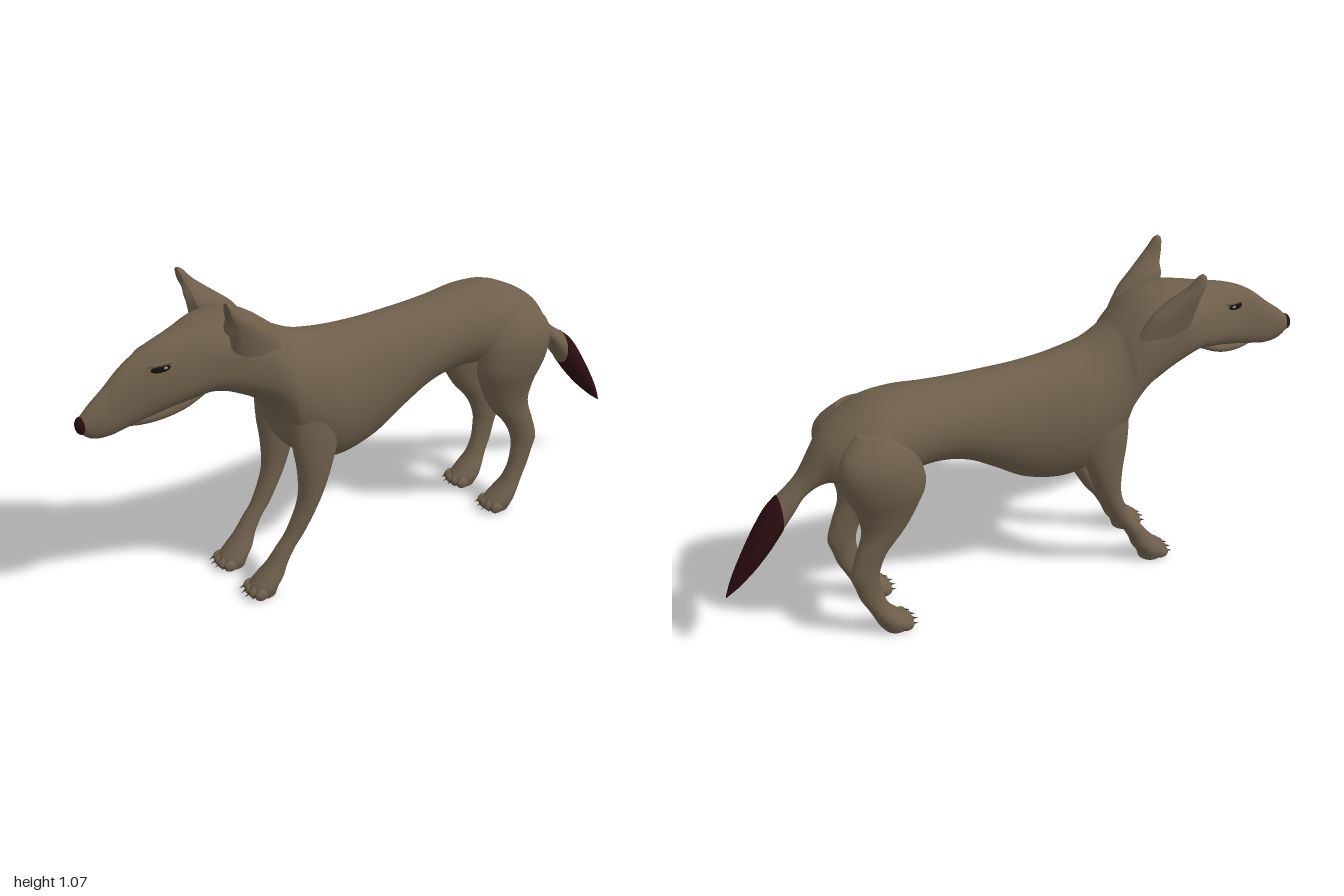
import * as THREE from 'three';

const mat = (name, color) => Object.assign(new THREE.MeshStandardMaterial({ color }), { name });

// Smooth loft through stations [t, lo, hi, zCentre, zHalf, squareness, taper].
// Along 'x', lo..hi spans y; along 'y', lo..hi spans x. dent hollows the low side.
function loft(axis, stations, { seg = 32, sub = 5, dent = 0 } = {}) {
  const rows = [];
  const full = stations.map(s => [s[0], s[1], s[2], s[3], s[4], s[5] ?? 2, s[6] ?? 0]);
  const at = i => full[Math.min(full.length - 1, Math.max(0, i))];
  for (let i = 0; i < full.length - 1; i++) {
    for (let k = 0; k < sub; k++) {
      const t = k / sub;
      rows.push(full[i].map((b, c) => {
        const a = at(i - 1)[c], d = at(i + 1)[c], e = at(i + 2)[c];
        return b + 0.5 * t * (d - a + t * (2 * a - 5 * b + 4 * d - e + t * (3 * (b - d) + e - a)));
      }));
    }
  }
  rows.push(full[full.length - 1]);

  const pos = [], idx = [];
  const put = (t, u, z) => (axis === 'x' ? pos.push(t, u, z) : pos.push(u, t, z));
  const tri = (a, b, c) => (axis === 'x' ? idx.push(a, b, c) : idx.push(a, c, b));
  const power = (v, n) => Math.sign(v) * Math.abs(v) ** (2 / n);
  rows.forEach(([t, lo, hi, zc, rz, n, taper], i) => {
    const r = (hi - lo) / 2;
    for (let j = 0; j < seg; j++) {
      const a = (j / seg) * Math.PI * 2;
      const s = power(Math.sin(a), n), c = power(Math.cos(a), n);
      const hollow = dent * r * Math.max(0, -Math.sin(a)) ** 3 * Math.min(1, (i / rows.length) * 2);
      put(t, (lo + hi) / 2 + r * s + hollow, zc + rz * c * (1 - taper * s));
    }
  });
  for (let i = 0; i < rows.length - 1; i++) {
    for (let j = 0; j < seg; j++) {
      const a = i * seg + j, b = i * seg + (j + 1) % seg;
      tri(a, a + seg, b);
      tri(b, a + seg, b + seg);
    }
  }
  // End caps
  for (const end of [0, rows.length - 1]) {
    const [t, lo, hi, zc] = rows[end], centre = pos.length / 3;
    put(t, (lo + hi) / 2, zc);
    for (let j = 0; j < seg; j++) {
      const a = end * seg + j, b = end * seg + (j + 1) % seg;
      end ? tri(centre, b, a) : tri(centre, a, b);
    }
  }
  const g = new THREE.BufferGeometry();
  g.setAttribute('position', new THREE.Float32BufferAttribute(pos, 3));
  g.setIndex(idx);
  g.computeVertexNormals();
  return g;
}

export function createModel() {
  const model = new THREE.Group();
  const fur = mat('brown fur', 0x6e5f4b);
  const dark = mat('dark red tail and nose', 0x2c0d10);
  const black = mat('black eye', 0x14100e);
  const amber = mat('pale eye', 0x8f7f68);
  const horn = mat('dark claw', 0x3a3027);

  const add = (name, geo, material, parent = model) => {
    const m = new THREE.Mesh(geo, material);
    m.name = name;
    parent.add(m);
    return m;
  };
  const ball = (name, material, p, s, parent = model) => {
    const m = add(name, new THREE.SphereGeometry(1, 20, 14), material, parent);
    m.position.set(...p);
    m.scale.set(...s);
    return m;
  };

  // Head, neck, trunk and tail root in one skin: [x, bottom, top, halfWidth, squareness, taper]
  const trunk = [
    [-0.985, 0.705, 0.755, 0.02], [-0.95, 0.68, 0.79, 0.03], [-0.9, 0.676, 0.83, 0.037, 2.2, 0.1],
    [-0.85, 0.687, 0.875, 0.045, 2.3, 0.15], [-0.8, 0.7, 0.908, 0.056, 2.3, 0.22],
    [-0.75, 0.715, 0.93, 0.073, 2.3, 0.25], [-0.7, 0.73, 0.944, 0.09, 2.3, 0.25],
    [-0.65, 0.742, 0.953, 0.108, 2.4, 0.2], [-0.6, 0.755, 0.96, 0.126, 2.6, 0.12],
    [-0.55, 0.745, 0.965, 0.142, 2.7, 0.05], [-0.5, 0.72, 0.966, 0.148, 2.7],
    [-0.45, 0.69, 0.958, 0.151, 2.6], [-0.4, 0.65, 0.935, 0.152, 2.4],
    [-0.35, 0.57, 0.897, 0.151, 2.2], [-0.32, 0.48, 0.873, 0.15, 2.1],
    [-0.25, 0.41, 0.84, 0.155], [-0.18, 0.378, 0.824, 0.157], [-0.1, 0.375, 0.815, 0.147],
    [0, 0.405, 0.811, 0.136], [0.1, 0.47, 0.81, 0.131], [0.2, 0.53, 0.81, 0.13],
    [0.3, 0.556, 0.815, 0.132], [0.4, 0.555, 0.822, 0.145], [0.5, 0.55, 0.81, 0.155],
    [0.58, 0.55, 0.775, 0.138], [0.64, 0.568, 0.735, 0.1], [0.68, 0.56, 0.69, 0.065],
    [0.73, 0.53, 0.61, 0.045], [0.77, 0.475, 0.57, 0.045], [0.81, 0.42, 0.54, 0.047],
  ].map(([x, lo, hi, w, n, k]) => [x, lo, hi, 0, w, n, k]);
  add('body', loft('x', trunk, { seg: 40 }), fur);

  add('lowerJaw', loft('x', [
    [-0.845, 0.689, 0.705, 0, 0.016], [-0.79, 0.685, 0.73, 0, 0.042], [-0.73, 0.692, 0.75, 0, 0.062],
    [-0.67, 0.717, 0.775, 0, 0.084], [-0.6, 0.755, 0.81, 0, 0.09],
  ]), fur);

  add('tailTip', loft('x', [
    [0.808, 0.42, 0.543, 0, 0.049], [0.85, 0.362, 0.503, 0, 0.05], [0.9, 0.304, 0.425, 0, 0.043],
    [0.95, 0.255, 0.335, 0, 0.028], [0.98, 0.23, 0.275, 0, 0.014], [1, 0.215, 0.222, 0, 0.002],
  ]), dark);
  ball('nose', dark, [-0.982, 0.732, 0], [0.018, 0.028, 0.023]);

  // Leg stations: [y, xFront, xBack, zCentre, zHalf]
  const foreLeg = [
    [0, -0.49, -0.41, 0.098, 0.04], [0.03, -0.497, -0.4, 0.098, 0.049], [0.06, -0.473, -0.38, 0.1, 0.045],
    [0.1, -0.437, -0.363, 0.103, 0.033], [0.15, -0.4, -0.335, 0.106, 0.028], [0.2, -0.363, -0.297, 0.108, 0.028],
    [0.3, -0.322, -0.243, 0.112, 0.034], [0.4, -0.32, -0.205, 0.114, 0.041], [0.5, -0.335, -0.175, 0.111, 0.045],
    [0.6, -0.34, -0.17, 0.106, 0.045], [0.7, -0.32, -0.2, 0.1, 0.04],
  ];
  const hindLeg = [
    [0, 0.44, 0.52, 0.098, 0.04], [0.03, 0.433, 0.54, 0.098, 0.049], [0.06, 0.462, 0.553, 0.1, 0.045],
    [0.1, 0.498, 0.572, 0.103, 0.033], [0.15, 0.52, 0.597, 0.105, 0.026], [0.2, 0.528, 0.612, 0.107, 0.026],
    [0.25, 0.528, 0.625, 0.108, 0.029], [0.32, 0.5, 0.606, 0.108, 0.033], [0.4, 0.436, 0.582, 0.108, 0.042],
    [0.48, 0.395, 0.595, 0.113, 0.056], [0.56, 0.37, 0.628, 0.122, 0.07], [0.64, 0.385, 0.645, 0.126, 0.071],
    [0.7, 0.41, 0.63, 0.115, 0.064], [0.76, 0.45, 0.57, 0.09, 0.04],
  ];
  const ear = [
    [0.86, -0.56, -0.36, 0.1, 0.045], [0.93, -0.582, -0.405, 0.113, 0.042], [0.97, -0.588, -0.45, 0.12, 0.042],
    [1, -0.582, -0.488, 0.133, 0.034], [1.03, -0.583, -0.523, 0.143, 0.026],
    [1.06, -0.58, -0.548, 0.147, 0.018], [1.07, -0.576, -0.56, 0.148, 0.008],
  ];

  for (const side of [1, -1]) {
    const label = side > 0 ? 'left' : 'right';
    const mirrored = st => st.map(s => s.map((v, i) => (i === 3 ? v * side : v)));
    add(label + 'Ear', loft('y', mirrored(ear), { dent: 1.3 }), fur);

    // Legs with four toes and claws each
    for (const [name, stations, toeX] of [['FrontLeg', foreLeg, -0.485], ['HindLeg', hindLeg, 0.446]]) {
      const leg = new THREE.Group();
      leg.name = label + name;
      add('limb', loft('y', mirrored(stations)), fur, leg);
      [-1.5, -0.5, 0.5, 1.5].forEach(k => {
        const x = toeX + Math.abs(k) * 0.008 - 0.004, z = side * 0.098 + k * 0.025;
        ball('toe', fur, [x, 0.02, z], [0.024, 0.02, 0.0135], leg);
        const claw = add('claw', new THREE.ConeGeometry(0.005, 0.026, 8), horn, leg);
        claw.position.set(x - 0.027, 0.021, z);
        claw.rotation.z = Math.PI / 2 + 0.35;
      });
      model.add(leg);
    }

    // Almond eye under a low brow
    const eye = new THREE.Group();
    eye.name = label + 'Eye';
    eye.position.set(-0.745, 0.875, side * 0.061);
    eye.rotation.set(-side * 0.4, -side * 0.3, 0);
    ball('eyeRim', black, [0, 0, 0], [0.03, 0.011, 0.011], eye);
    ball('eyeCorner', amber, [0.013, 0, side * 0.006], [0.008, 0.005, 0.006], eye);
    ball('brow', fur, [0.002, 0.013, 0], [0.04, 0.008, 0.013], eye);
    model.add(eye);
  }
  return model;
}
